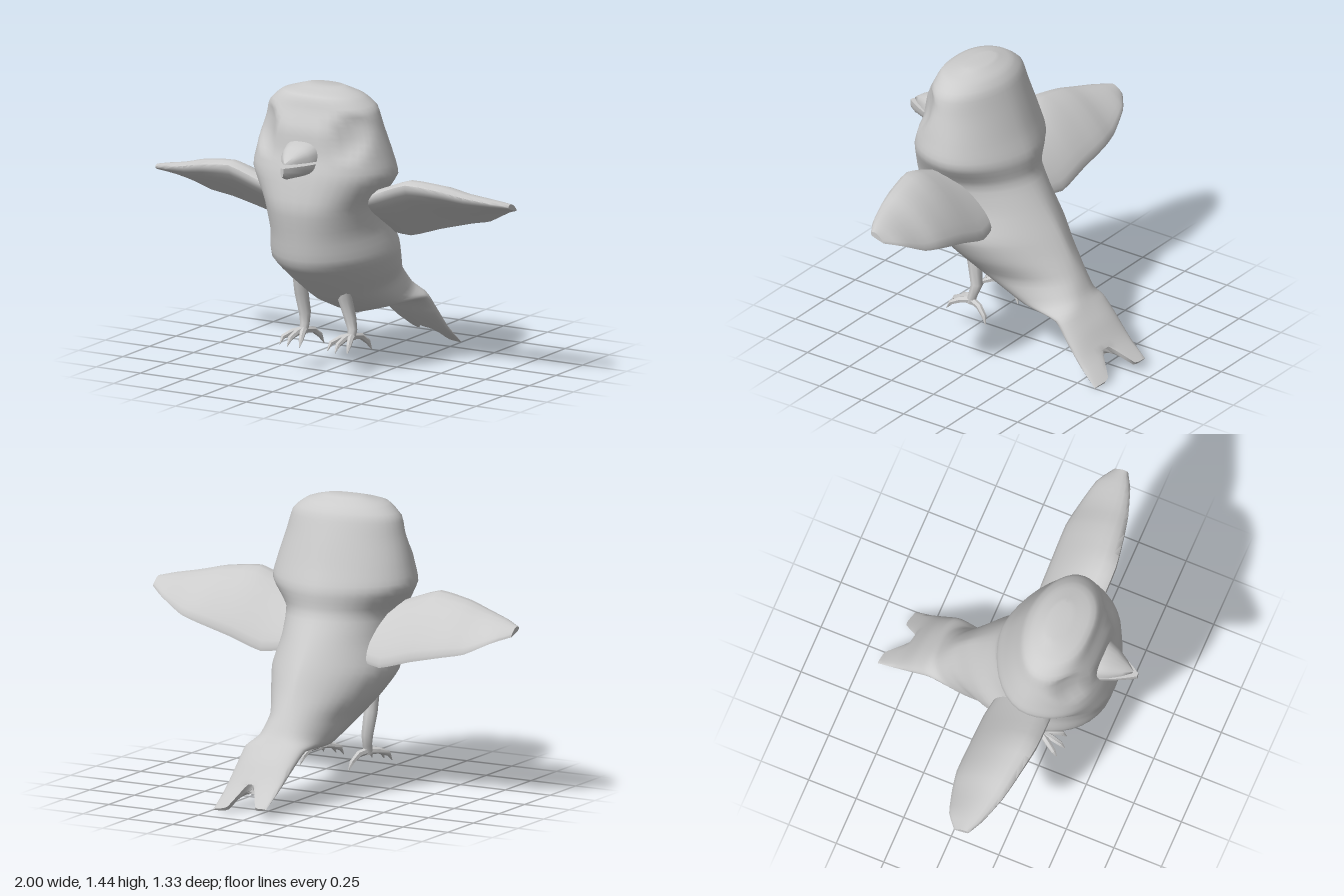
import * as THREE from 'three';
import { toCreasedNormals } from 'three/addons/utils/BufferGeometryUtils.js';

const V = (x, y, z) => new THREE.Vector3(x, y, z);
const grey = new THREE.MeshStandardMaterial({ color: 0xcccccc });

// Skin a row of closed rings, cap both ends and make the faces point outwards.
function loft(rings, crease = 1.0) {
  const n = rings[0].length, pts = rings.flat(), idx = [];
  for (let r = 0; r < rings.length - 1; r++)
    for (let i = 0; i < n; i++) {
      const a = r * n + i, b = r * n + (i + 1) % n;
      idx.push(a, b, a + n, b, b + n, a + n);
    }
  [0, rings.length - 1].forEach((r, end) => {
    // caps join point i to its mirror n - i
    for (let i = 0; i < n / 2; i++) {
      const a = r * n + i, b = a + 1, c = r * n + (n - i) % n, d = r * n + n - 1 - i;
      if (end) idx.push(a, b, c, b, d, c);
      else idx.push(a, c, b, b, c, d);
    }
  });
  let volume = 0;
  for (let i = 0; i < idx.length; i += 3)
    volume += pts[idx[i]].dot(V(0, 0, 0).crossVectors(pts[idx[i + 1]], pts[idx[i + 2]]));
  if (volume < 0) idx.reverse();
  const g = new THREE.BufferGeometry().setFromPoints(pts);
  g.setIndex(idx);
  return toCreasedNormals(g, crease);
}

// Interpolate rows of numbers, halfway between straight and curved.
function refine(rows, steps) {
  const out = [];
  for (let i = 0; i < rows.length - 1; i++)
    for (let s = 0; s < steps; s++) {
      const t = s / steps, at = k => rows[Math.min(rows.length - 1, Math.max(0, k))];
      out.push(rows[i].map((p1, c) => {
        const p0 = at(i - 1)[c], p2 = at(i + 1)[c], p3 = at(i + 2)[c];
        const curved = p1 + 0.5 * t * (p2 - p0 + t * (2 * p0 - 5 * p1 + 4 * p2 - p3 + t * (3 * (p1 - p2) + p3 - p0)));
        return (curved + p1 + (p2 - p1) * t) / 2;
      }));
    }
  out.push(rows[rows.length - 1]);
  return out;
}

// Tapered tube through [x, y, z, radius] rows, running down or sideways.
function limb(rows, sides = 8) {
  const path = rows.map(r => V(r[0], r[1], r[2]));
  return loft(path.map((p, i) => {
    const dir = path[Math.min(i + 1, path.length - 1)].clone().sub(path[Math.max(i - 1, 0)]).normalize();
    const q = new THREE.Quaternion().setFromUnitVectors(V(0, -1, 0), dir);
    return Array.from({ length: sides }, (_, k) => {
      const a = k / sides * Math.PI * 2, r = rows[i][3];
      return V(Math.cos(a) * r, 0, Math.sin(a) * r).applyQuaternion(q).add(p);
    });
  }));
}

// Head, breast, back and tail in one skin.
// Rows: front z, front y, back z, back y, half width, centre x, roll, front and back pointedness
function bodyGeometry() {
  const rows = [
    [0.30, 1.44, 0.20, 1.442, 0.10, 0, 0, 0.9, 1],
    [0.41, 1.41, 0.13, 1.405, 0.215, 0, 0, 0.8, 1],
    [0.44, 1.34, 0.09, 1.36, 0.285, 0, 0, 0.75, 1.1],
    [0.48, 1.25, 0.045, 1.25, 0.315, 0, 0, 0.7, 1.15],
    [0.495, 1.13, -0.005, 1.12, 0.35, 0, 0, 0.7, 1.2],
    [0.525, 1.03, -0.05, 1.01, 0.37, 0, 0, 0.75, 1.25],
    [0.555, 0.87, -0.055, 0.9, 0.285, 0, 0, 0.8, 1.1],
    [0.535, 0.72, -0.13, 0.78, 0.275, 0, 0, 0.9, 1.2],
    [0.51, 0.575, -0.22, 0.645, 0.30, 0, 0, 1, 1.45],
    [0.40, 0.465, -0.28, 0.54, 0.255, 0, 0, 1.15, 1.35],
    [0.27, 0.36, -0.335, 0.44, 0.19, 0, 0, 1.35, 0.95],
    [0.0, 0.25, -0.38, 0.36, 0.17, 0.015, 0, 2.0, 0.75],
    [-0.30, 0.258, -0.415, 0.315, 0.17, 0.04, 0.04, 1.6, 0.8],
    [-0.41, 0.17, -0.48, 0.24, 0.168, 0.055, 0.08, 1.1, 0.9],
    [-0.52, 0.085, -0.55, 0.14, 0.166, 0.07, 0.11, 1, 1],
    [-0.63, 0.02, -0.642, 0.038, 0.165, 0.085, 0.13, 1, 1],
  ];
  const steps = 4, sides = 40, all = refine(rows, steps);
  return loft(all.map(([fz, fy, bz, by, w, cx, roll, pf, pb], k) => {
    const fork = Math.max(0, (k - (all.length - 1 - steps)) / steps);
    return Array.from({ length: sides }, (_, i) => {
      const a = i / sides * Math.PI * 2, c = Math.sin(a), s = Math.cos(a);
      const t = 0.5 + 0.5 * c, p = c > 0 ? pf : pb;
      const dx = Math.sign(s) * w * Math.pow(Math.abs(s), p);
      const v = V(cx + dx, by + (fy - by) * t - roll * dx, bz + (fz - bz) * t + roll * 1.5 * dx);
      // notch between the two tail points
      const notch = fork * Math.max(0, 1 - Math.abs(v.x - 0.075) / 0.09);
      v.z += 0.13 * notch;
      v.y += 0.125 * notch;
      // shallow eye sockets
      const d = Math.hypot((Math.abs(v.x) - 0.235) / 0.085, (v.y - 1.225) / 0.12);
      if (v.z > 0.28 && d < 1) v.z -= 0.05 * (1 - d * d);
      return v;
    });
  }), 0.9);
}

// Wing rows: x, leading z, leading y, trailing z, trailing y, thickness
function wingGeometry(side) {
  const rows = [
    [0.18, 0.325, 0.88, 0.03, 0.69, 0.075],
    [0.33, 0.335, 0.94, 0.0, 0.665, 0.08],
    [0.50, 0.34, 1.0, 0.0, 0.715, 0.08],
    [0.68, 0.31, 0.98, 0.0, 0.76, 0.07],
    [0.79, 0.285, 0.955, 0.02, 0.785, 0.055],
    [0.92, 0.24, 0.93, 0.06, 0.85, 0.035],
    [1.0, 0.195, 0.915, 0.12, 0.88, 0.02],
  ];
  const sides = 20;
  return loft(refine(rows, 3).map(([x, lz, ly, tz, ty, th]) => {
    const len = Math.hypot(lz - tz, ly - ty), nz = -(ly - ty) / len, ny = (lz - tz) / len;
    return Array.from({ length: sides }, (_, i) => {
      const a = i / sides * Math.PI * 2, t = 0.5 + 0.5 * Math.cos(a), s = Math.sin(a);
      // arched above, flatter beneath, fuller towards the leading edge
      const h = th * s * (s > 0 ? 1 : 0.1 + 0.5 * t) * (0.6 + 0.6 * t);
      return V(side * x, ty + (ly - ty) * t + ny * h + side * 0.022 * x, tz + (lz - tz) * t + nz * h);
    });
  }), 0.9);
}

// Half of the beak: a flat bite face at height y, domed up or down.
// Rows: z, half width, dome height
function beakGeometry(y, rows) {
  const arc = 12;
  return loft(rows.map(([z, w, h]) => Array.from({ length: arc + 1 }, (_, i) => {
    const a = i / arc * Math.PI, c = Math.cos(a);
    return V(w * Math.sign(c) * Math.pow(Math.abs(c), 0.8), y + h * Math.pow(Math.sin(a), 0.7), z);
  }).concat([V(-w / 2, y, z), V(0, y, z), V(w / 2, y, z)])), 0.9);
}

export function createModel() {
  const model = new THREE.Group();
  const add = (name, geometry, parent = model) => {
    const m = new THREE.Mesh(geometry, grey);
    m.name = name;
    parent.add(m);
  };

  add('body', bodyGeometry());
  add('upperBeak', beakGeometry(1.113, [[0.42, 0.1, 0.088], [0.485, 0.1, 0.087],
    [0.54, 0.078, 0.065], [0.6, 0.04, 0.035], [0.64, 0.006, 0.008]]));
  add('lowerBeak', beakGeometry(1.1, [[0.42, 0.102, -0.06], [0.485, 0.1, -0.06],
    [0.56, 0.068, -0.062], [0.63, 0.03, -0.06], [0.665, 0.008, -0.045]]));

  for (const side of [1, -1]) {
    const label = side > 0 ? 'left' : 'right';
    add(label + 'Wing', wingGeometry(side));

    // Leg with three front toes and one back toe
    const leg = new THREE.Group();
    leg.name = label + 'Leg';
    model.add(leg);
    const top = side > 0 ? 0.09 : -0.155, foot = side > 0 ? 0.125 : -0.145;
    add('shank', limb([[top, 0.46, 0.24, 0.036], [top, 0.38, 0.225, 0.035],
      [(top + foot) / 2, 0.27, 0.2, 0.03], [foot, 0.22, 0.21, 0.024], [foot, 0.175, 0.225, 0.022]]), leg);
    for (const [dx, reach] of [[-0.07, 0.11], [-0.015, 0.13], [0.045, 0.115]])
      add('frontToe', limb([[foot, 0.19, 0.215, 0.018], [foot + dx * 0.5, 0.185, 0.215 + reach * 0.45, 0.016],
        [foot + dx * 0.9, 0.165, 0.215 + reach * 0.85, 0.013], [foot + dx, 0.13, 0.22 + reach, 0.002]], 6), leg);
    add('backToe', limb([[foot, 0.19, 0.22, 0.018], [foot + 0.02, 0.18, 0.16, 0.016],
      [foot + 0.035, 0.145, 0.12, 0.013], [foot + 0.045, 0.105, 0.103, 0.002]], 6), leg);
  }
  return model;
}
